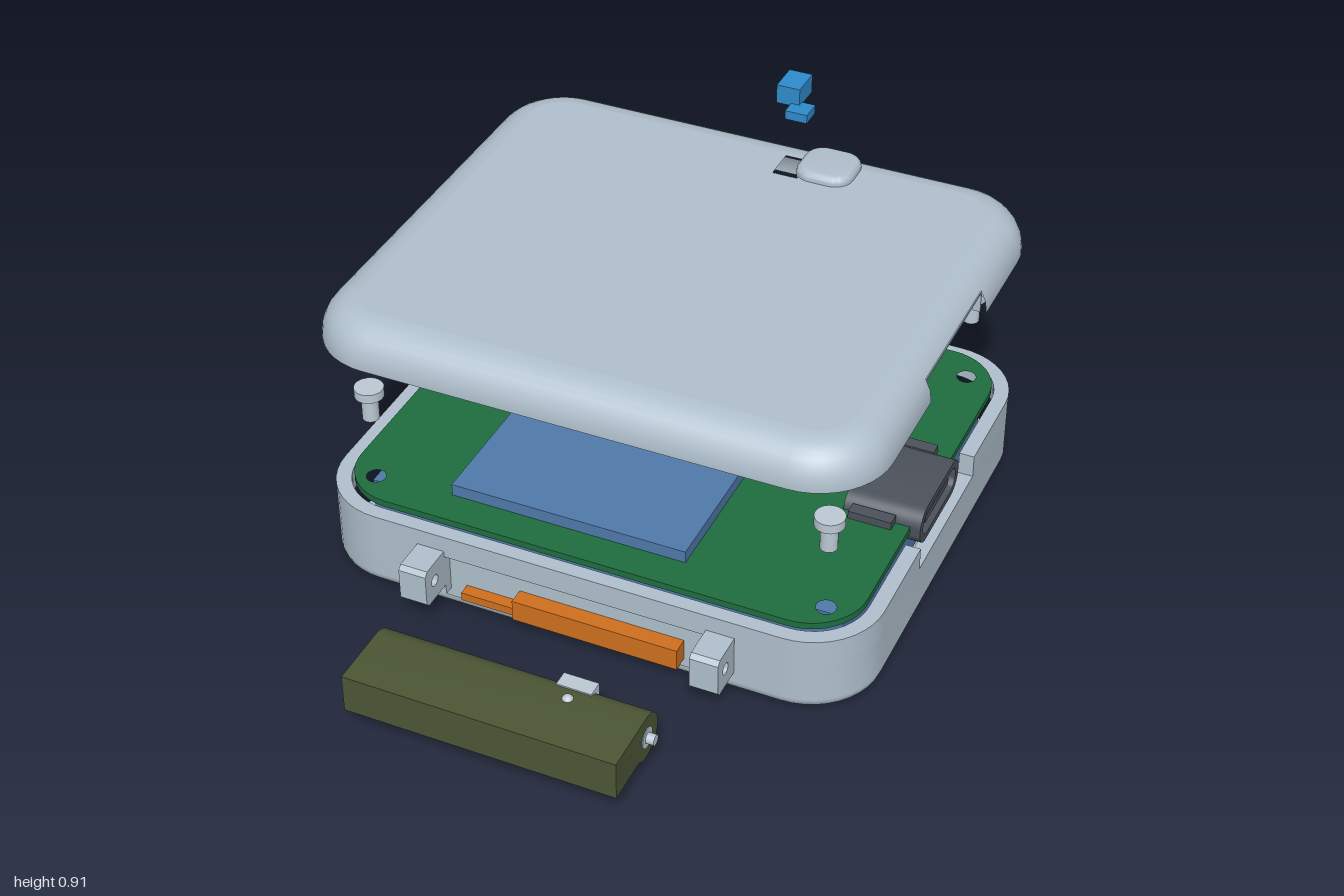
import * as THREE from 'three';
import { toCreasedNormals } from 'three/addons/utils/BufferGeometryUtils.js';

const HW = 0.645, HD = 0.56, R = 0.165, GAP = 0.175;

export function createModel() {
  const model = new THREE.Group();
  const mat = (name, color) => {
    const m = new THREE.MeshStandardMaterial({ color });
    m.name = name;
    return m;
  };
  const shell = mat('pale grey shell', 0xb0c0cd);
  const steel = mat('steel', 0xbccad5);
  const green = mat('board green', 0x1f6d40);
  const blue = mat('battery blue', 0x5079ab);
  const pipeBlue = mat('bright blue', 0x2f8ccd);
  const orange = mat('antenna orange', 0xd0701f);
  const dark = mat('charcoal', 0x4c525b);
  const black = mat('connector black', 0x3a3d43);
  const olive = mat('olive', 0x4c5735);
  const gold = mat('gold', 0xc8991f);

  const add = (name, geo, material, x = 0, y = 0, z = 0, parent = model) => {
    const m = new THREE.Mesh(geo, material);
    m.name = name;
    m.position.set(x, y, z);
    parent.add(m);
    return m;
  };
  // box given by its limits
  const box = (name, material, x0, x1, y0, y1, z0, z1, parent) =>
    add(name, new THREE.BoxGeometry(x1 - x0, y1 - y0, z1 - z0), material,
      (x0 + x1) / 2, (y0 + y1) / 2, (z0 + z1) / 2, parent);

  // rounded rectangle, optionally with two points that mark a side opening at +x
  const outline = (hw, hd, r, gap = 0) => {
    const pts = [];
    if (gap) pts.push(new THREE.Vector2(hw, gap));
    [[1, 1], [-1, 1], [-1, -1], [1, -1]].forEach(([sx, sz], k) => {
      for (let i = 0; i <= 10; i++) {
        const a = (k + i / 10) * Math.PI / 2;
        pts.push(new THREE.Vector2(sx * (hw - r) + r * Math.cos(a), sz * (hd - r) + r * Math.sin(a)));
      }
    });
    if (gap) pts.push(new THREE.Vector2(hw, -gap));
    return pts;
  };
  const caseRing = inset => outline(HW - inset, HD - inset, R - inset, GAP);
  const flip = pts => pts.map(p => new THREE.Vector2(p.x, -p.y));
  const circle = (x, y, r) => new THREE.Path().absarc(x, y, r, 0, Math.PI * 2, true);

  // horizontal plate from an (x, z) outline
  const slab = (pts, y0, y1, holes = [], bevel = 0) => {
    const s = new THREE.Shape(flip(pts));
    s.holes.push(...holes);
    const g = new THREE.ExtrudeGeometry(s, {
      depth: y1 - y0, bevelEnabled: bevel > 0, bevelSize: bevel, bevelThickness: bevel, bevelSegments: 4, curveSegments: 16,
    });
    g.rotateX(-Math.PI / 2).translate(0, y0, 0);
    return toCreasedNormals(g, 0.6);
  };
  // plate along x from a (z, y) profile
  const sidePlate = (shape, x0, x1) => {
    const g = new THREE.ExtrudeGeometry(shape, { depth: x1 - x0, bevelEnabled: false, curveSegments: 16 });
    g.rotateY(-Math.PI / 2).translate(x1, 0, 0);
    return toCreasedNormals(g, 0.6);
  };
  // skin through case outlines [inset, y]; the side opening is left free below openY
  const loft = (profile, openY = -1) => {
    const pos = [], idx = [];
    const rings = profile.map(([inset]) => caseRing(inset));
    const n = rings[0].length;
    rings.forEach((ring, i) => ring.forEach(p => pos.push(p.x, profile[i][1], p.y)));
    for (let i = 0; i + 1 < rings.length; i++) {
      for (let j = 0; j < n; j++) {
        if (j === n - 1 && Math.max(profile[i][1], profile[i + 1][1]) <= openY + 1e-6) continue;
        const a = i * n + j, b = i * n + (j + 1) % n;
        idx.push(a, a + n, b, b, a + n, b + n);
      }
    }
    const g = new THREE.BufferGeometry();
    g.setAttribute('position', new THREE.Float32BufferAttribute(pos, 3));
    g.setIndex(idx);
    return toCreasedNormals(g, 0.6);
  };

  // lid: hollow filleted skin, top panel with light pipe slot, button
  const lid = new THREE.Group();
  lid.name = 'lid';
  model.add(lid);
  const skin = [[0.085, 0.655], [0.045, 0.64], [0.03, 0.61], [0.03, 0.588], [0, 0.588]];
  [0, 0.28, 0.558, 0.75, 0.95, 1.15, 1.36, Math.PI / 2].forEach(t =>
    skin.push([0.085 * (1 - Math.cos(t)), 0.595 + 0.085 * Math.sin(t)]));
  add('lidSkin', loft(skin, 0.6405), shell, 0, 0, 0, lid);
  const slot = new THREE.Path([[0.06, 0.38], [0.06, 0.46], [0.12, 0.46], [0.12, 0.38]].map(p => new THREE.Vector2(...p)));
  add('lidPanel', slab(caseRing(0.085), 0.655, 0.68, [slot]), shell, 0, 0, 0, lid);
  box('openingCeiling', shell, 0.6, 0.632, 0.638, 0.643, -GAP, GAP, lid);
  for (const s of [-1, 1]) box('openingEdge', shell, 0.615, 0.632, 0.59, 0.64, s * GAP - 0.002, s * GAP + 0.002, lid);
  add('lidButton', slab(outline(0.052, 0.052, 0.03), 0.665, 0.686, [], 0.015), shell, 0.172, 0, -0.443, lid);

  // light pipe
  box('lightPipeTop', pipeBlue, 0.065, 0.12, 0.865, 0.91, -0.455, -0.38);
  box('lightPipeFoot', pipeBlue, 0.1, 0.152, 0.85, 0.871, -0.395, -0.345);

  // base case: floor, recessed middle wall, top wall open for the connector
  const base = new THREE.Group();
  base.name = 'baseCase';
  model.add(base);
  add('floorEdge', loft([[0.024, 0.008], [0.012, 0.011], [0.004, 0.018], [0, 0.03], [0, 0.036]]), shell, 0, 0, 0, base);
  add('floor', slab(caseRing(0.024), 0.008, 0.036), shell, 0, 0, 0, base);
  const middle = [];
  outline(HW, HD, R).forEach((p, i) => {
    middle.push(p);
    const s = i === 10 ? 1 : i === 32 ? -1 : 0;
    if (s) [[0.31, HD], [0.31, 0.537], [-0.31, 0.537], [-0.31, HD]].forEach(([x, z]) =>
      middle.push(new THREE.Vector2(s * x, s * z)));
  });
  const innerHole = new THREE.Path(flip(caseRing(0.035)));
  add('middleWall', slab(middle, 0.034, 0.14, [innerHole]), shell, 0, 0, 0, base);
  add('topWall', slab([...caseRing(0), ...caseRing(0.035).reverse()], 0.14, 0.195), shell, 0, 0, 0, base);

  for (const s of [-1, 1]) {
    // strap lugs with pin holes
    const lug = new THREE.Shape([[0.53, 0.06], [0.635, 0.06], [0.645, 0.07], [0.645, 0.145], [0.635, 0.155], [0.53, 0.155]]
      .map(([z, y]) => new THREE.Vector2(s * z, y)));
    lug.holes.push(circle(s * 0.605, 0.108, 0.014));
    for (const x of [-0.375, 0.31]) add('strapLug', sidePlate(lug, x, x + 0.065), shell, 0, 0, 0, base);

    // strap end with round hinge, pin and release lever
    const pts = [[1, 0.068], [1, 0.16]];
    for (let i = 0; i <= 16; i++) {
      const a = Math.PI / 2 + i / 16 * Math.PI * 1.22;
      pts.push([0.855 + 0.054 * Math.cos(a), 0.107 + 0.053 * Math.sin(a)]);
    }
    pts.push([0.9, 0.068]);
    const strap = new THREE.Shape(pts.map(([z, y]) => new THREE.Vector2(s * z, y)));
    add('strapEnd', sidePlate(strap, -0.31, 0.31), olive);
    for (const [r, h] of [[0.012, 0.66], [0.024, 0.624]])
      add('strapPin', new THREE.CylinderGeometry(r, r, h, 20).rotateZ(Math.PI / 2), steel, 0, 0.107, s * 0.855);
    const lever = box('releaseLever', steel, 0.1, 0.18, 0.125, 0.161, 0.803, 0.84);
    lever.position.z *= s;
    add('leverKnob', new THREE.SphereGeometry(0.013, 14, 10), steel, 0.14, 0.156, s * 0.868);
  }

  // antennas
  box('frontAntenna', orange, -0.27, 0.25, 0.035, 0.055, 0.53, 0.565);
  box('frontAntennaStep', orange, -0.14, 0.25, 0.033, 0.085, 0.53, 0.575);
  box('rearAntenna', orange, -0.28, 0.25, 0.19, 0.245, -0.534, -0.524);
  box('rearAntennaTab', orange, -0.31, -0.26, 0.027, 0.038, -0.566, -0.53);

  // charging contacts under the floor
  for (const z of [-0.21, 0.21])
    for (const [x, r] of [[-0.225, 0.056], [0, 0.041], [0.225, 0.056]])
      add('chargingContact', new THREE.CylinderGeometry(r, r, 0.009, 32), gold, x, 0.0045, z);

  // batteries and circuit board
  box('lowerBattery', blue, -0.55, 0.57, 0.04, 0.188, -0.44, 0.44);
  box('upperBattery', blue, -0.35, 0.21, 0.21, 0.24, -0.26, 0.44);
  const corners = [];
  for (const x of [-0.535, 0.535]) for (const z of [-0.435, 0.45]) corners.push([x, z]);
  add('circuitBoard', slab(outline(0.605, 0.52, 0.13), 0.195, 0.211, corners.map(([x, z]) => circle(x, -z, 0.022))), green);

  // screws
  for (const [x, z] of corners) {
    add('screwHead', new THREE.CylinderGeometry(0.033, 0.033, 0.022, 28), steel, x, 0.446, z);
    add('screwShank', new THREE.CylinderGeometry(0.019, 0.019, 0.065, 24), steel, x, 0.407, z);
  }

  // board components: x, z, width, depth, top
  for (const [x, z, w, d, top] of [
    [-0.53, 0.075, 0.08, 0.07, 0.26], [-0.53, -0.015, 0.08, 0.075, 0.26], [-0.52, -0.215, 0.08, 0.08, 0.245],
    [-0.44, -0.41, 0.08, 0.06, 0.245], [0.045, -0.43, 0.1, 0.09, 0.25], [0.29, -0.43, 0.08, 0.1, 0.26],
    [0.175, -0.435, 0.09, 0.13, 0.245], [0.3, -0.22, 0.04, 0.03, 0.225],
  ]) box('boardComponent', dark, x - w / 2, x + w / 2, 0.21, top, z - d / 2, z + d / 2);
  add('switchButton', new THREE.CylinderGeometry(0.037, 0.037, 0.04, 28), dark, 0.173, 0.26, -0.435);

  // port connector
  const port = new THREE.Group();
  port.name = 'portConnector';
  port.position.set(0, 0.2, 0.01);
  model.add(port);
  const portShell = new THREE.Shape(outline(0.125, 0.046, 0.044));
  portShell.holes.push(new THREE.Path(outline(0.105, 0.03, 0.029)));
  add('portShell', sidePlate(portShell, 0.45, 0.628), dark, 0, 0, 0, port);
  add('portCore', sidePlate(new THREE.Shape(outline(0.106, 0.031, 0.03)), 0.452, 0.608), black, 0, 0, 0, port);
  box('portTongue', dark, 0.6, 0.622, -0.009, 0.009, -0.075, 0.075, port);
  for (const s of [-1, 1]) box('portTab', dark, 0.47, 0.57, 0.008, 0.03, s * 0.135 - 0.015, s * 0.135 + 0.015, port);

  return model;
}
